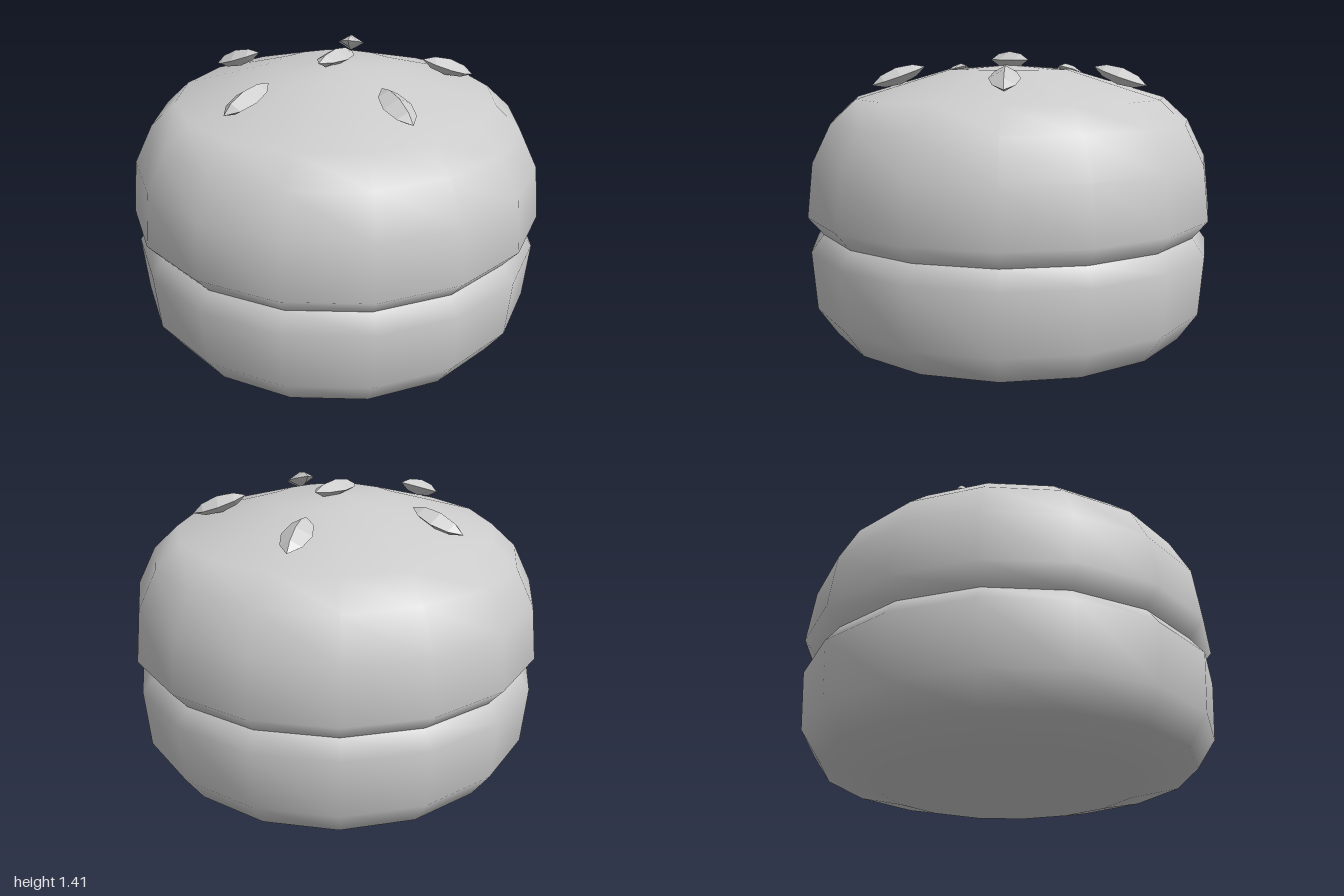
import * as THREE from 'three';

const SIDES = 16;
const TWIST = 0.055; // small turn of the 16-sided bun about y

// Turned bun half from a bottom-to-top [radius, height] profile
function bunHalf(name, profile, material) {
  const points = profile.map(([r, y]) => new THREE.Vector2(r, y));
  const mesh = new THREE.Mesh(new THREE.LatheGeometry(points, SIDES, TWIST), material);
  mesh.name = name;
  return mesh;
}

// Faceted four-sided spindle lying along z
function seedGeometry() {
  const profile = [[0, -0.135], [0.05, -0.08], [0.07, 0], [0.05, 0.08], [0, 0.135]];
  const points = profile.map(([r, y]) => new THREE.Vector2(r, y));
  const spindle = new THREE.LatheGeometry(points, 4);
  spindle.rotateX(Math.PI / 2);
  spindle.scale(1, 0.58, 1);
  const faceted = spindle.toNonIndexed();
  faceted.computeVertexNormals();
  return faceted;
}

export function createModel() {
  const model = new THREE.Group();
  model.name = 'seededBun';
  const bunMaterial = new THREE.MeshStandardMaterial({ color: 0xcccccc });
  bunMaterial.name = 'light grey';

  // Bottom and top halves meet in a pinched seam
  model.add(bunHalf('bottomBun', [
    [0, 0], [0.62, 0], [0.88, 0.065], [0.97, 0.2], [0.99, 0.48], [0.93, 0.56],
  ], bunMaterial));
  model.add(bunHalf('topBun', [
    [0.93, 0.56], [1, 0.645], [0.97, 0.9], [0.88, 1.08], [0.76, 1.19],
    [0.3, 1.325], [0, 1.345],
  ], bunMaterial));

  // One seed on the crown, five in a ring pointing outward and down the slope
  const geometry = seedGeometry();
  const addSeed = (name, x, y, z, yaw, pitch) => {
    const seed = new THREE.Mesh(geometry, bunMaterial);
    seed.name = name;
    seed.position.set(x, y, z);
    seed.rotation.set(pitch, yaw, 0, 'YXZ');
    model.add(seed);
  };
  addSeed('crownSeed', 0, 1.37, 0, 0.055, 0);
  const ring = [[-0.055, 0.545], [0.505, 0.215], [0.365, -0.415], [-0.28, -0.48], [-0.54, 0.115]];
  ring.forEach(([x, z], i) => addSeed(`ringSeed${i + 1}`, x, 1.295, z, Math.atan2(x, z), 0.33));

  return model;
}
